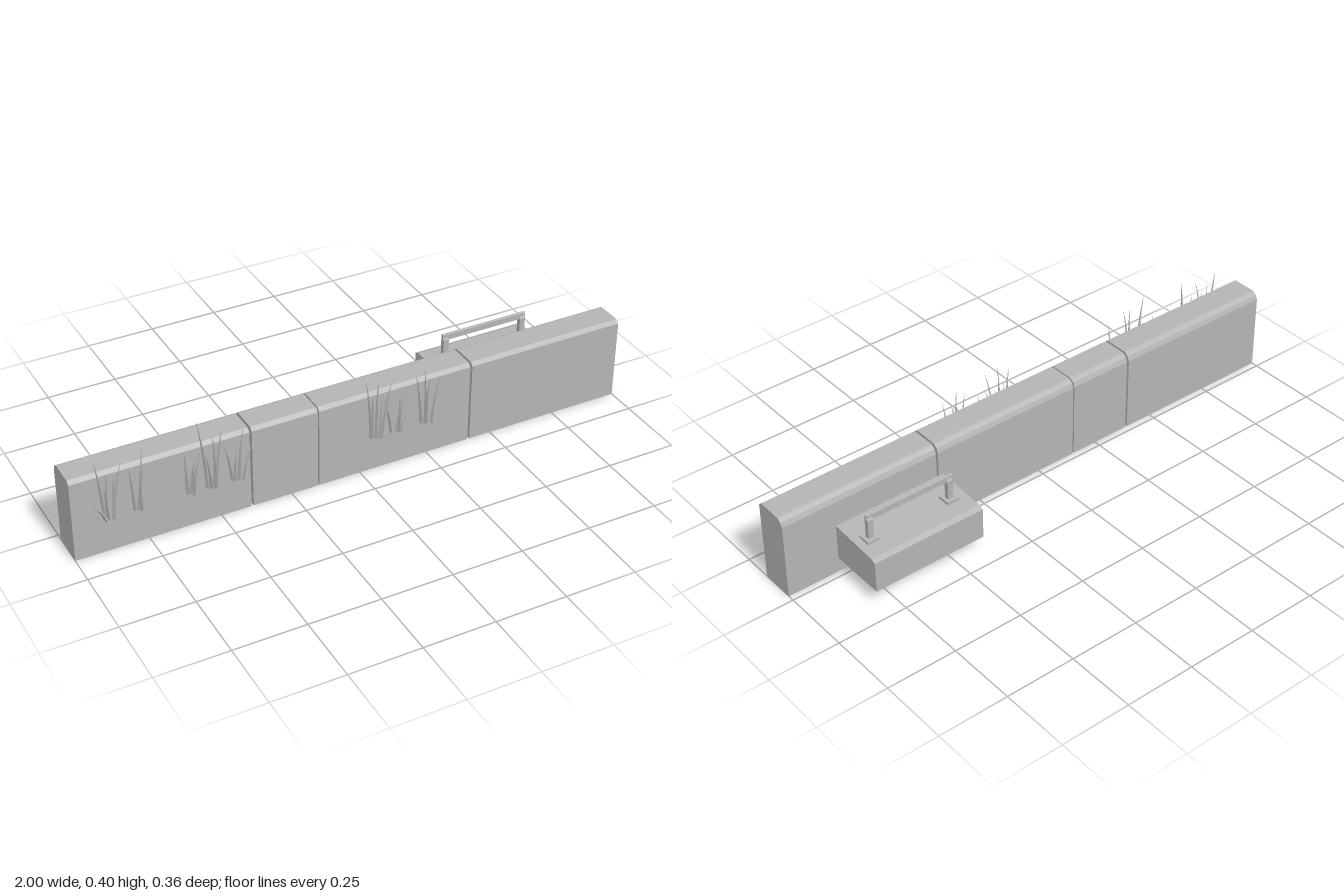
import * as THREE from 'three';

const concrete = new THREE.MeshStandardMaterial({ color: 0xb4b4b4 });
concrete.name = 'plain grey';

// Extrudes a [z, y] profile along x, from x0 to x1
function extrudeX(profile, x0, x1, name) {
  const shape = new THREE.Shape(profile.map(([z, y]) => new THREE.Vector2(-z, y)));
  const geo = new THREE.ExtrudeGeometry(shape, { depth: x1 - x0, bevelEnabled: false });
  geo.rotateY(Math.PI / 2).translate(x0, 0, 0);
  const mesh = new THREE.Mesh(geo, concrete);
  mesh.name = name;
  return mesh;
}

function box(w, h, d, x, y, z, name) {
  const mesh = new THREE.Mesh(new THREE.BoxGeometry(w, h, d), concrete);
  mesh.position.set(x, y, z);
  mesh.name = name;
  return mesh;
}

// Tapered three-sided stalk that bends from its base towards its tip
function blade(base, tip, radius) {
  const mid = new THREE.Vector3(
    base.x + (tip.x - base.x) * 0.3, base.y + (tip.y - base.y) * 0.6, base.z + (tip.z - base.z) * 0.5);
  const curve = new THREE.QuadraticBezierCurve3(base, mid, tip);
  const rings = [];
  const steps = 4;
  for (let i = 0; i <= steps; i++) {
    const c = curve.getPoint(i / steps);
    const r = radius * (1 - 0.95 * (i / steps) ** 1.5);
    rings.push([0, 1, 2].map((k) => {
      const a = (k / 3) * Math.PI * 2 + Math.PI / 2;
      return new THREE.Vector3(c.x + Math.cos(a) * r, c.y, c.z + Math.sin(a) * r);
    }));
  }
  const tris = [rings[0][0], rings[0][1], rings[0][2], rings[steps][2], rings[steps][1], rings[steps][0]];
  for (let i = 0; i < steps; i++) {
    for (let k = 0; k < 3; k++) {
      const n = (k + 1) % 3;
      const [a, b, c, d] = [rings[i][k], rings[i][n], rings[i + 1][n], rings[i + 1][k]];
      tris.push(a, c, b, a, d, c);
    }
  }
  const geo = new THREE.BufferGeometry().setFromPoints(tris);
  geo.computeVertexNormals();
  const mesh = new THREE.Mesh(geo, concrete);
  mesh.name = 'grassBlade';
  return mesh;
}

export function createModel() {
  const model = new THREE.Group();
  model.name = 'wallWithGrass';

  // Wall segments separated by narrow joints
  const wallProfile = [
    [0.147, 0], [0.147, 0.288], [0.135, 0.3], [0.048, 0.3],
    [0.04, 0.297], [0.03, 0.289], [0.023, 0.273], [0.023, 0],
  ];
  const wall = new THREE.Group();
  wall.name = 'wall';
  for (const [a, b] of [[-1, -0.395], [-0.387, -0.154], [-0.149, 0.412], [0.42, 1]]) {
    wall.add(extrudeX(wallProfile, a, b, 'wallSegment'));
  }
  model.add(wall);

  // Rear step with a sloping top
  model.add(extrudeX(
    [[0.023, 0.053], [0.023, 0.183], [-0.165, 0.172], [-0.183, 0.164], [-0.183, 0.053]],
    0.395, 0.81, 'rearStep'));

  // Handrail: foot plates, posts and bar
  const rail = new THREE.Group();
  rail.name = 'handrail';
  for (const x of [0.455, 0.76]) {
    rail.add(box(0.045, 0.009, 0.046, x, 0.182, -0.088, 'footPlate'));
    const post = [[-0.08, 0.178], [-0.08, 0.255], [-0.084, 0.262], [-0.093, 0.262], [-0.097, 0.255], [-0.097, 0.178]];
    rail.add(extrudeX(post, x - 0.01, x + 0.01, 'post'));
  }
  rail.add(extrudeX(
    [[-0.084, 0.252], [-0.084, 0.273], [-0.086, 0.276], [-0.091, 0.276], [-0.093, 0.273], [-0.093, 0.252]],
    0.443, 0.772, 'railBar'));
  model.add(rail);

  // Grass clumps: centre of the base, then [tip x, tip y] for each blade
  const clumps = [
    [-0.88, [[-0.92, 0.355], [-0.835, 0.34], [-0.96, 0.23], [-0.885, 0.31], [-0.9, 0.26], [-0.86, 0.29]]],
    [-0.783, [[-0.81, 0.3], [-0.765, 0.365], [-0.785, 0.27], [-0.76, 0.29]]],
    [-0.607, [[-0.625, 0.295], [-0.57, 0.305], [-0.605, 0.25], [-0.585, 0.28]]],
    [-0.53, [[-0.58, 0.395], [-0.497, 0.36], [-0.535, 0.34], [-0.5, 0.29], [-0.56, 0.27]]],
    [-0.447, [[-0.487, 0.265], [-0.428, 0.33], [-0.402, 0.265], [-0.45, 0.24]]],
    [0.05, [[0.015, 0.355], [0.053, 0.365], [0.1, 0.36], [0.035, 0.3], [0.11, 0.3], [0.075, 0.29]]],
    [0.128, [[0.08, 0.272], [0.19, 0.245], [0.128, 0.28], [0.16, 0.28], [0.145, 0.23]]],
    [0.24, [[0.198, 0.33], [0.225, 0.35], [0.277, 0.32], [0.25, 0.31], [0.235, 0.28]]],
  ];
  const grass = new THREE.Group();
  grass.name = 'grass';
  for (const [cx, tips] of clumps) {
    const clump = new THREE.Group();
    clump.name = 'grassClump';
    tips.forEach(([tx, ty], i) => {
      const bx = cx + (tx - cx) * 0.25 + ((i % 3) - 1) * 0.006;
      const base = new THREE.Vector3(bx, 0.132, 0.158 + (i % 3) * 0.006);
      const tip = new THREE.Vector3(tx, ty, 0.16 + ((i * 2) % 5) * 0.005);
      clump.add(blade(base, tip, 0.0065));
    });
    grass.add(clump);
  }
  model.add(grass);

  return model;
}
